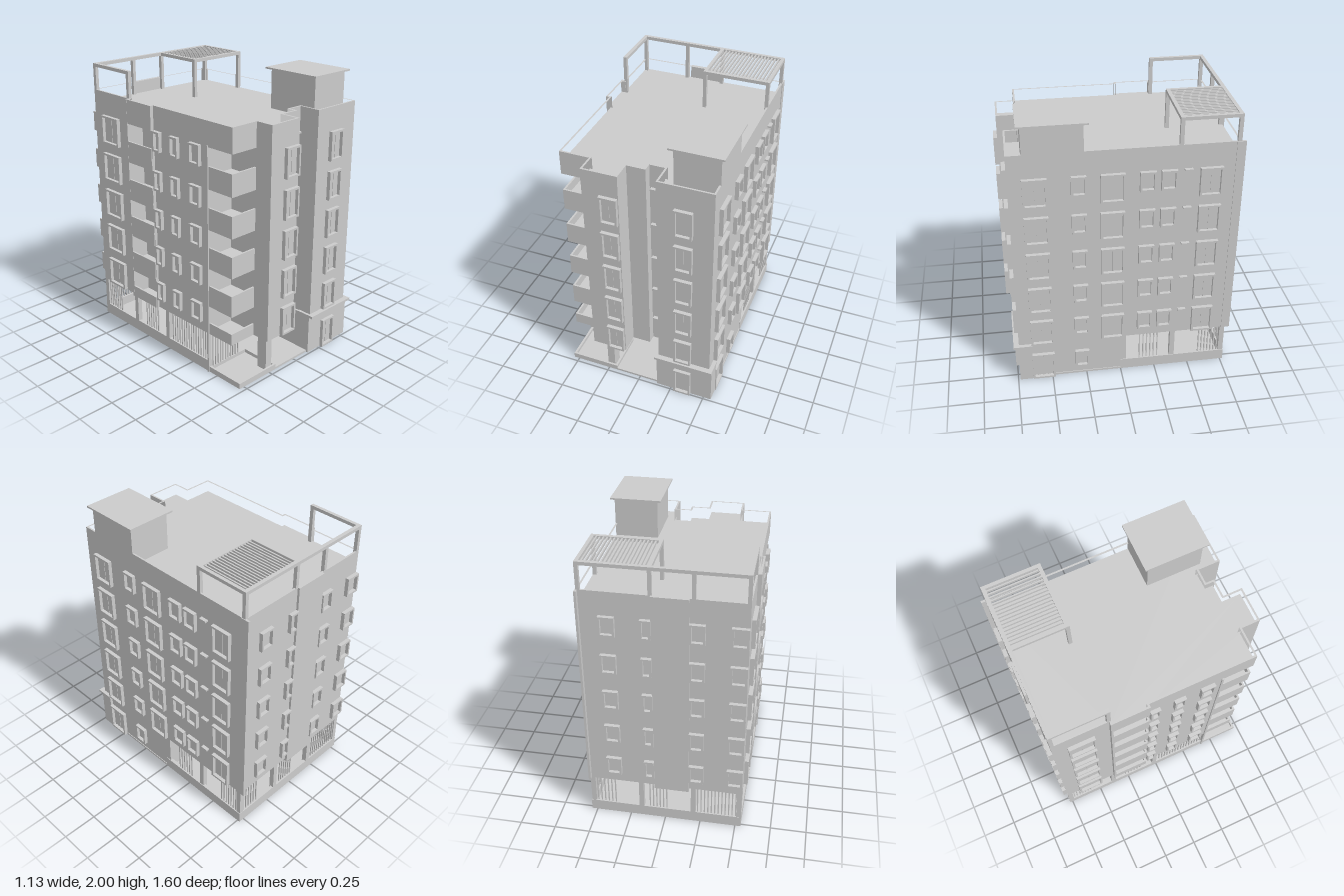
import * as THREE from 'three';

const grey = new THREE.MeshStandardMaterial({ color: 0xcccccc, flatShading: true });

// Upper floors plan, with the two balcony recesses on the -x side, as [x, z]
const front = [[0.535, -0.77], [0.535, 0.73], [0.155, 0.73], [0.155, 0.575], [0.05, 0.575],
  [0.05, 0.635], [-0.08, 0.635], [-0.08, 0.77], [-0.33, 0.77]];
const floorPlan = [[-0.54, -0.77], ...front, [-0.33, 0.42], [-0.54, 0.42], [-0.54, -0.11],
  [-0.43, -0.11], [-0.43, -0.37], [-0.54, -0.37]];
const roofPlan = [[-0.54, -0.77], ...front, [-0.33, 0.64], [-0.54, 0.64], [-0.54, -0.11],
  [-0.565, -0.11], [-0.565, -0.37], [-0.54, -0.37]];

const FLOORS = 5, PITCH = 0.28;

// Inset of a right-angled plan
function inset(pts, t) {
  const n = pts.length;
  const normal = (a, b) => {
    const dx = b[0] - a[0], dz = b[1] - a[1], l = Math.hypot(dx, dz);
    return [-dz / l, dx / l];
  };
  return pts.map((p, i) => {
    const a = normal(pts[(i + n - 1) % n], p), b = normal(p, pts[(i + 1) % n]);
    return [p[0] + (a[0] + b[0]) * t, p[1] + (a[1] + b[1]) * t];
  });
}

export function createModel() {
  const root = new THREE.Group();

  function group(name, parent = root) {
    const g = new THREE.Group();
    g.name = name;
    parent.add(g);
    return g;
  }
  // Box from its limits
  function box(name, x0, x1, y0, y1, z0, z1, parent = root) {
    const m = new THREE.Mesh(new THREE.BoxGeometry(x1 - x0, y1 - y0, z1 - z0), grey);
    m.position.set((x0 + x1) / 2, (y0 + y1) / 2, (z0 + z1) / 2);
    m.name = name;
    parent.add(m);
    return m;
  }
  // Plan extruded upwards, optionally with a hole
  function prism(name, pts, y0, y1, hole) {
    const v = (p) => p.map(([x, z]) => new THREE.Vector2(x, -z));
    const shape = new THREE.Shape(v(pts));
    if (hole) shape.holes.push(new THREE.Path(v(hole)));
    const g = new THREE.ExtrudeGeometry(shape, { depth: y1 - y0, bevelEnabled: false });
    g.rotateX(-Math.PI / 2);
    const m = new THREE.Mesh(g, grey);
    m.position.y = y0;
    m.name = name;
    root.add(m);
  }

  // Main block, roof slab and parapet
  prism('upperFloors', floorPlan, 0.3, 1.66);
  prism('roofSlab', roofPlan, 1.63, 1.71);
  prism('parapet', roofPlan, 1.71, 1.8, inset(roofPlan, 0.013));
  box('backPanel', -0.17, 0.07, 0.28, 1.8, -0.786, -0.765);
  box('cornerFin', 0.525, 0.54, 0.3, 1.8, -0.8, -0.74);
  box('sideFin', -0.566, -0.53, 0.3, 1.8, -0.38, -0.365);
  box('balconyFin', -0.548, -0.52, 0, 1.64, 0.41, 0.425);

  // Framed window: face is the wall side, u its centre along the wall
  function frame(face, wall, u0, u1, y0, y1, parent) {
    const w = u1 - u0, h = y1 - y0, t = 0.014, d = 0.027;
    const g = group('window', parent);
    const s = new THREE.Shape();
    s.moveTo(-w / 2, -h / 2).lineTo(w / 2, -h / 2).lineTo(w / 2, h / 2).lineTo(-w / 2, h / 2);
    const o = new THREE.Path();
    const a = w / 2 - t, b = h / 2 - t;
    o.moveTo(-a, -b).lineTo(-a, b).lineTo(a, b).lineTo(a, -b);
    s.holes.push(o);
    const rim = new THREE.Mesh(new THREE.ExtrudeGeometry(s, { depth: d, bevelEnabled: false }), grey);
    rim.name = 'windowFrame';
    g.add(rim);
    box('windowPane', -a, a, -b, b, -0.002, 0.003, g);
    if (w > 0.12) box('windowMullion', -0.003, 0.003, -b, b, 0, 0.006, g);
    const u = (u0 + u1) / 2, y = (y0 + y1) / 2;
    if (face === 'front' || face === 'back') g.position.set(u, y, wall);
    else g.position.set(wall, y, u);
    g.rotation.y = { front: 0, back: Math.PI, right: Math.PI / 2, left: -Math.PI / 2 }[face];
  }

  // Window columns: side, wall position, start, end, height
  const TALL = 0.205, SMALL = 0.14;
  const columns = [
    ['front', 0.77, -0.21, -0.085, TALL], ['front', 0.73, 0.275, 0.4, TALL],
    ['right', 0.535, 0.48, 0.64, TALL], ['right', 0.535, 0.23, 0.33, SMALL],
    ['right', 0.535, -0.02, 0.14, TALL], ['right', 0.535, -0.22, -0.115, SMALL],
    ['right', 0.535, -0.36, -0.255, SMALL], ['right', 0.535, -0.66, -0.51, TALL],
    ['left', -0.54, -0.67, -0.485, TALL], ['left', -0.54, -0.1, -0.03, SMALL],
    ['left', -0.54, 0.07, 0.15, SMALL], ['left', -0.54, 0.26, 0.36, SMALL],
    ['back', -0.77, 0.3, 0.405, SMALL], ['back', -0.77, 0.07, 0.14, SMALL],
    ['back', -0.77, -0.27, -0.17, SMALL], ['back', -0.77, -0.54, -0.43, SMALL],
  ];
  for (let i = 0; i < FLOORS; i++) {
    const top = 0.513 + PITCH * i;
    const storey = group('storeyWindows');
    for (const [face, wall, u0, u1, h] of columns) frame(face, wall, u0, u1, top - h, top, storey);
    // Hoods over the narrow slits
    box('slitHood', 0.53, 0.56, top - 0.012, top, -0.46, -0.405, storey);
    box('slitHood', 0.06, 0.145, top - 0.012, top, 0.57, 0.6, storey);

    // Balcony slabs and solid rails at the front corner and the side recess
    const y0 = i ? 0.23 + PITCH * i : 0.3;
    const y1 = 0.383 + PITCH * i, yf = 0.3 + PITCH * i + 0.02;
    const b = group('balconies');
    box('cornerSlab', -0.54, -0.33, y0, yf, 0.4, 0.64, b);
    box('cornerFrontRail', -0.54, -0.33, y0, y1, 0.627, 0.64, b);
    box('cornerSideRail', -0.54, -0.527, y0, y1, 0.42, 0.628, b);
    box('sideSlab', -0.56, -0.42, y0, yf, -0.37, -0.11, b);
    box('sideRail', -0.565, -0.552, y0, y1, -0.37, -0.11, b);
    box('sideRailReturn', -0.56, -0.53, y0, y1, -0.12, -0.107, b);
  }

  // Ground slab, plinths and the enclosed front room
  box('groundSlab', -0.54, 0.54, 0, 0.015, -0.77, 0.72);
  box('backPlinth', -0.54, 0.54, 0, 0.083, -0.77, -0.745);
  box('rightPlinth', 0.515, 0.54, 0, 0.083, -0.77, 0);
  box('leftPlinth', -0.54, -0.515, 0, 0.083, -0.77, 0.42);
  box('groundRoom', 0.14, 0.535, 0, 0.3, -0.04, 0.66);
  box('groundFront', 0.14, 0.555, 0, 0.29, 0.64, 0.735);
  box('groundCanopy', 0.135, 0.562, 0.288, 0.305, 0.635, 0.768);
  frame('front', 0.732, 0.275, 0.4, 0, 0.215);
  frame('right', 0.535, 0.48, 0.64, 0, 0.215);
  frame('right', 0.535, 0.23, 0.33, 0.075, 0.215);

  // Planter by the entrance
  const planter = group('planter');
  box('planterFront', -0.54, -0.185, 0, 0.04, 0.705, 0.72, planter);
  box('planterBack', -0.54, -0.185, 0, 0.04, 0.42, 0.435, planter);
  box('planterSide', -0.54, -0.525, 0, 0.04, 0.42, 0.72, planter);
  box('planterSide', -0.2, -0.185, 0, 0.04, 0.42, 0.72, planter);

  // Ground floor columns
  for (const [x, z] of [[-0.523, -0.75], [0.518, -0.75], [-0.523, -0.38], [0.518, -0.38],
    [-0.523, -0.02], [-0.2, -0.752], [0.17, -0.752]])
    box('groundColumn', x - 0.017, x + 0.017, 0, 0.305, z - 0.018, z + 0.018);
  box('entrancePillar', -0.265, -0.21, 0, 0.305, 0.62, 0.7);

  // Fences of upright bars
  function fence(x0, z0, x1, z1, y0 = 0.08) {
    const g = group('fence'), n = Math.round(Math.hypot(x1 - x0, z1 - z0) / 0.024);
    for (let i = 0; i <= n; i++) {
      const x = x0 + (x1 - x0) * i / n, z = z0 + (z1 - z0) * i / n;
      box('fenceBar', x - 0.004, x + 0.004, y0, 0.302, z - 0.004, z + 0.004, g);
    }
  }
  for (const [a, b] of [[-0.5, -0.23], [-0.01, 0.11], [0.36, 0.49]]) fence(a, -0.757, b, -0.757);
  for (const x of [-0.527, 0.527])
    for (const [a, b] of [[-0.72, -0.58], [-0.27, -0.14]]) fence(x, a, x, b);
  fence(-0.527, 0.03, -0.527, 0.4);
  fence(-0.51, 0.43, -0.27, 0.43, 0.02);

  // Stair head on the roof
  box('stairHead', 0.23, 0.535, 1.7, 1.99, 0.24, 0.63);
  box('stairHeadCap', 0.2, 0.56, 1.988, 2, 0.21, 0.655);

  // Roof frame and slatted pergola
  const pergola = group('pergola');
  for (const [x, z] of [[-0.528, -0.38], [-0.528, -0.757], [-0.195, -0.757], [0.075, -0.757],
    [0.075, -0.38], [0.523, -0.757], [0.523, -0.38]])
    box('pergolaPost', x - 0.012, x + 0.012, 1.7, 1.97, z - 0.013, z + 0.013, pergola);
  box('backBeam', -0.54, 0.535, 1.965, 1.988, -0.77, -0.744, pergola);
  box('leftBeam', -0.54, -0.515, 1.965, 1.988, -0.745, -0.367, pergola);
  box('innerBeam', 0.063, 0.087, 1.965, 1.988, -0.745, -0.367, pergola);
  box('rightBeam', 0.511, 0.535, 1.965, 1.988, -0.745, -0.367, pergola);
  box('frontBeam', 0.086, 0.512, 1.965, 1.988, -0.393, -0.367, pergola);
  for (let i = 0; i < 17; i++) {
    const x = 0.108 + i * 0.0242;
    box('pergolaSlat', x - 0.005, x + 0.005, 1.967, 1.985, -0.746, -0.391, pergola);
  }
  return root;
}
